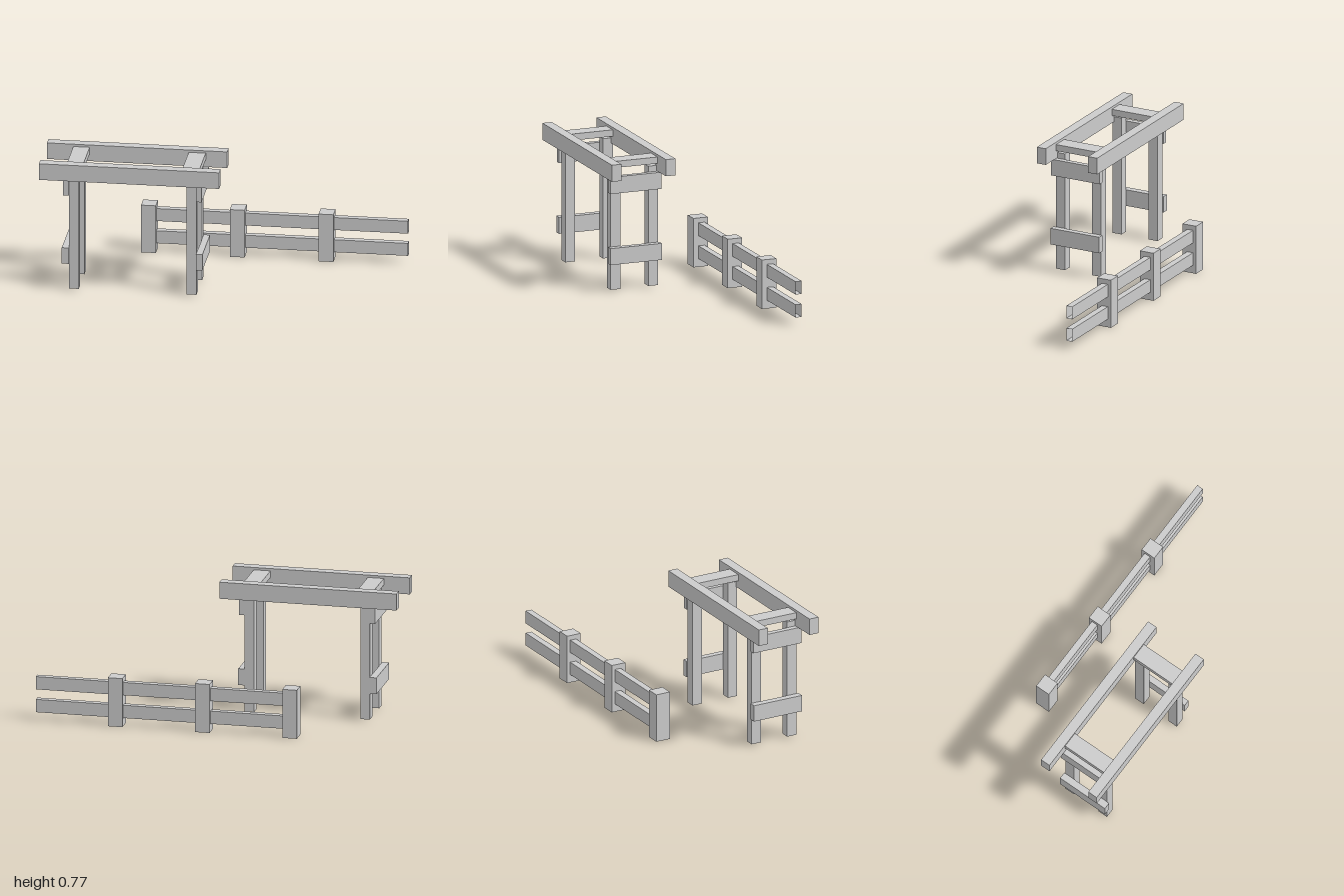
import * as THREE from 'three';

const material = new THREE.MeshStandardMaterial({ color: 0xcccccc, flatShading: true, side: THREE.DoubleSide });

// Box side numbers, for ends that are left open
const RIGHT_END = 0, LEFT_END = 1, BOTTOM = 3, FRONT_END = 4, BACK_END = 5;

// Timber between two limits on each axis, with the listed sides left open
function timber(name, [x0, x1], [y0, y1], [z0, z1], open = []) {
  const geometry = new THREE.BoxGeometry(x1 - x0, y1 - y0, z1 - z0);
  const index = Array.from(geometry.index.array);
  geometry.setIndex(index.filter((_, i) => !open.includes(Math.floor(i / 6))));
  geometry.clearGroups();
  const mesh = new THREE.Mesh(geometry, material);
  mesh.name = name;
  mesh.position.set((x0 + x1) / 2, (y0 + y1) / 2, (z0 + z1) / 2);
  return mesh;
}

function createTrestle() {
  const trestle = new THREE.Group();
  trestle.name = 'trestleFrame';

  // Long beams along the top
  for (const z of [[0, 0.058], [0.329, 0.387]]) {
    trestle.add(timber('topBeam', [-1, 0.025], [0.675, 0.772], z));
  }

  // Two end frames: legs, outer cross boards and a flat slat between the beams
  const ends = [
    { leg: [-0.835, -0.78], upper: [-0.867, -0.835], lower: [-0.875, -0.835], slat: [-0.85, -0.757] },
    { leg: [-0.166, -0.111], upper: [-0.111, -0.08], lower: [-0.111, -0.075], slat: [-0.194, -0.097] },
  ];
  for (const end of ends) {
    for (const z of [[0.048, 0.108], [0.279, 0.338]]) {
      trestle.add(timber('leg', end.leg, [0.009, 0.706], z, [BOTTOM]));
    }
    trestle.add(timber('upperCrossBoard', end.upper, [0.575, 0.672], [0.041, 0.353]));
    trestle.add(timber('lowerCrossBoard', end.lower, [0.163, 0.259], [0.041, 0.353]));
    trestle.add(timber('topSlat', end.slat, [0.72, 0.758], [0.058, 0.329], [FRONT_END, BACK_END]));
  }
  return trestle;
}

function createFence() {
  const fence = new THREE.Group();
  fence.name = 'fence';
  const spacing = 0.505, postWidth = 0.084;

  // Each bay is a post followed by two rails
  for (let i = 0; i < 3; i++) {
    const x = -0.515 + i * spacing;
    fence.add(timber('fencePost', [x, x + postWidth], [0, 0.285], [-0.387, -0.299], [BOTTOM]));
    for (const y of [[0.048, 0.123], [0.182, 0.257]]) {
      fence.add(timber('fenceRail', [x + postWidth, x + spacing], y, [-0.367, -0.329], [RIGHT_END, LEFT_END]));
    }
  }
  return fence;
}

export function createModel() {
  const model = new THREE.Group();
  model.name = 'trestleAndFence';
  model.add(createTrestle(), createFence());
  return model;
}
